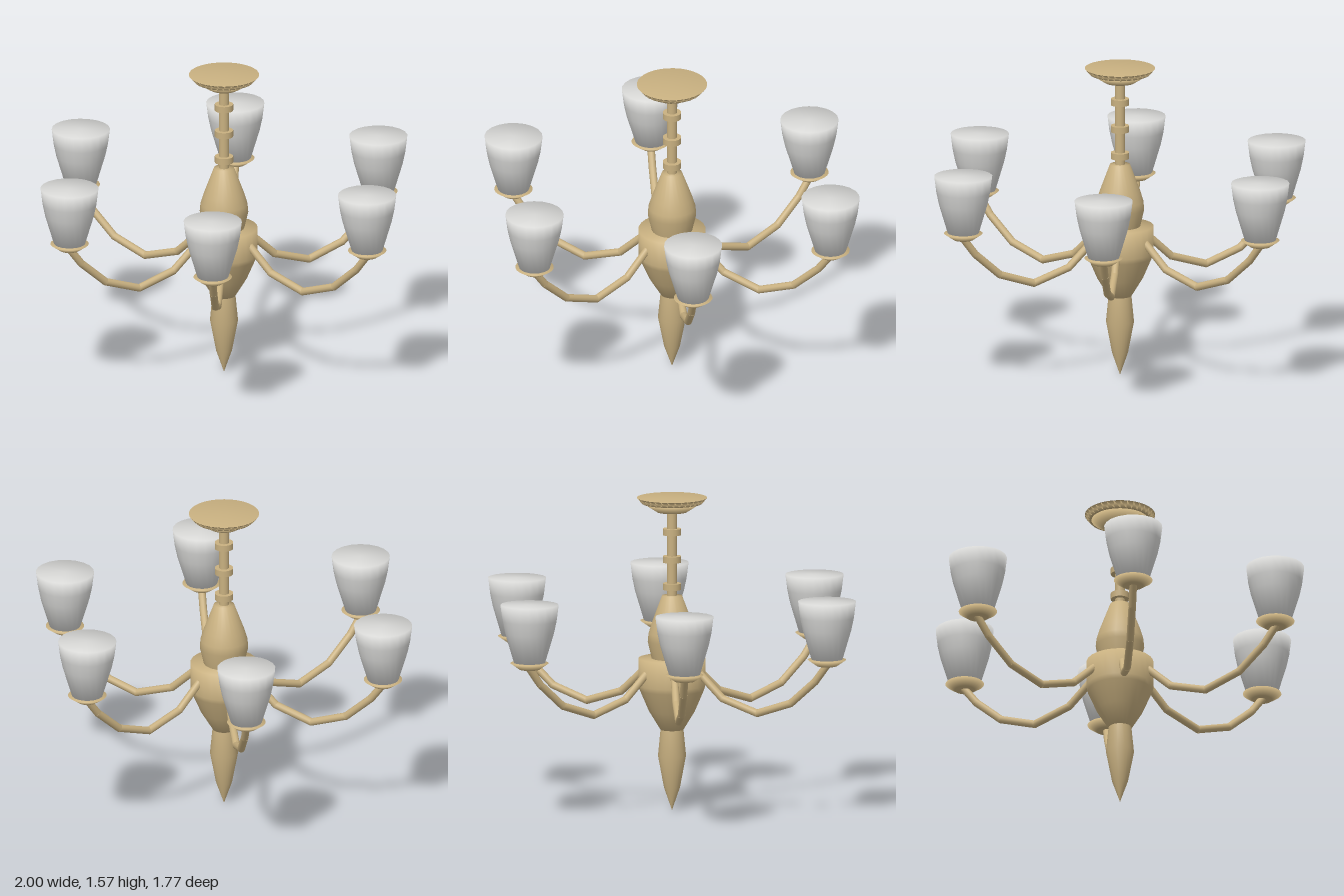
import * as THREE from 'three';

const brass = new THREE.MeshStandardMaterial({ color: 0xc8b080 });
brass.name = 'brass';
const glass = new THREE.MeshStandardMaterial({ color: 0xd6d6d4 });
glass.name = 'frosted glass';

// Turned part; profile is [radius, height] from bottom to top
function turned(name, profile, material, segments = 24) {
  const points = profile.map(([r, y]) => new THREE.Vector2(r, y));
  const mesh = new THREE.Mesh(new THREE.LatheGeometry(points, segments), material);
  mesh.name = name;
  return mesh;
}

// Straight pipe between two points in the arm's plane
function pipe(a, b, radius) {
  const from = new THREE.Vector3(a[0], a[1], 0);
  const dir = new THREE.Vector3(b[0], b[1], 0).sub(from);
  const mesh = new THREE.Mesh(new THREE.CylinderGeometry(radius, radius, dir.length() + 0.008, 12), brass);
  mesh.position.copy(from).addScaledVector(dir, 0.5);
  mesh.quaternion.setFromUnitVectors(new THREE.Vector3(0, 1, 0), dir.normalize());
  mesh.name = 'armSegment';
  return mesh;
}

// Curved arm with its cup and shade, reaching along +x
function createArm() {
  const arm = new THREE.Group();
  arm.name = 'lampArm';
  const path = [[0.14, 0.71], [0.28, 0.58], [0.47, 0.52], [0.655, 0.583], [0.79, 0.702], [0.86, 0.795]];
  for (let i = 0; i < path.length - 1; i++) arm.add(pipe(path[i], path[i + 1], 0.019));

  const cup = turned('shadeCup', [[0, 0.785], [0.05, 0.785], [0.096, 0.817], [0, 0.817]], brass);
  const shade = turned('glassShade', [
    [0, 0.818], [0.078, 0.82], [0.122, 0.968], [0.135, 1.03], [0.145, 1.11], [0, 1.11],
  ], glass, 20);
  cup.position.x = shade.position.x = 0.855;
  arm.add(cup, shade);
  return arm;
}

export function createModel() {
  const model = new THREE.Group();
  model.name = 'chandelier';

  // Central body
  model.add(turned('finial', [
    [0, 0], [0.04, 0.115], [0.07, 0.275], [0.057, 0.408],
  ], brass));
  model.add(turned('hub', [
    [0, 0.405], [0.057, 0.405], [0.115, 0.5], [0.16, 0.605], [0.167, 0.63], [0.167, 0.765], [0, 0.765],
  ], brass));
  model.add(turned('upperBody', [
    [0.1, 0.76], [0.121, 0.85], [0.117, 0.89], [0.102, 0.94], [0.05, 1.08], [0, 1.08],
  ], brass));

  // Stem and its collars
  model.add(turned('stem', [[0.025, 1.07], [0.025, 1.51]], brass, 16));
  for (const y of [1.125, 1.262, 1.4]) {
    const collar = new THREE.Mesh(new THREE.CylinderGeometry(0.046, 0.046, 0.032, 20), brass);
    collar.name = 'stemCollar';
    collar.position.y = y;
    model.add(collar);
  }

  // Ceiling canopy in two tiers
  model.add(turned('canopyLower', [[0, 1.5], [0.075, 1.5], [0.142, 1.543], [0, 1.543]], brass, 32));
  model.add(turned('canopyUpper', [[0, 1.543], [0.15, 1.543], [0.175, 1.572], [0, 1.572]], brass, 32));

  // Six arms around the hub
  for (let i = 0; i < 6; i++) {
    const arm = createArm();
    arm.rotation.y = (i * Math.PI) / 3;
    model.add(arm);
  }
  return model;
}
